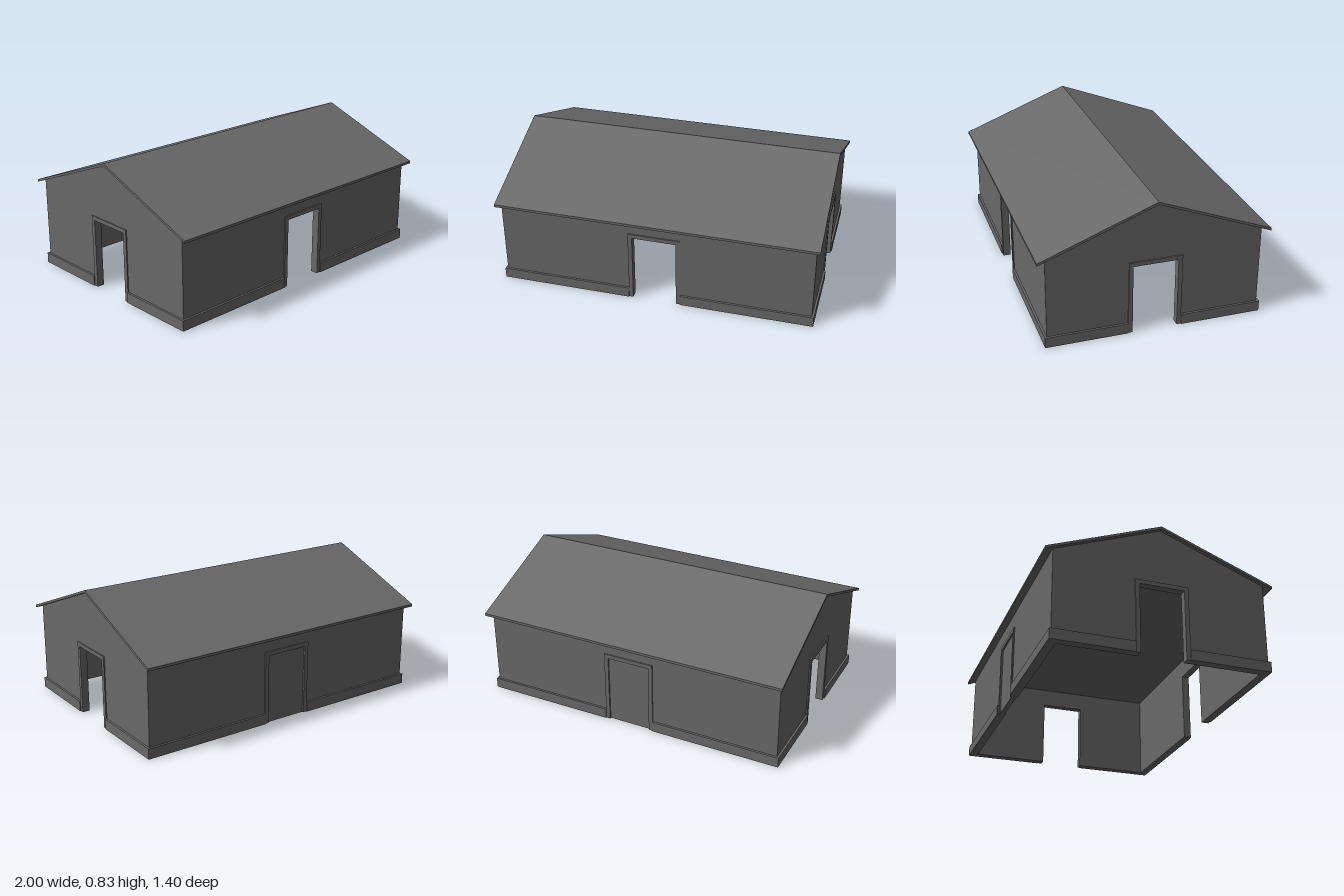
import * as THREE from 'three';

const WALL_X = 0.975, WALL_Z = 0.65, THICK = 0.04;
const DOOR_HALF = 0.137, DOOR_TOP = 0.435, FRAME = 0.026;
const FRAME_OUT = 0.007, PLINTH_OUT = 0.013, PLINTH_TOP = 0.065;
const RIDGE = 0.83, EAVE = 0.56, ROOF_Z = 0.7, ROOF_THICK = 0.016, CEILING = 0.55;

export function createModel() {
  const building = new THREE.Group();
  building.name = 'gabledBuilding';
  const grey = new THREE.MeshStandardMaterial({ color: 0x696969 });
  grey.name = 'grey';

  const add = (parent, name, geometry, x = 0, y = 0, z = 0) => {
    const mesh = new THREE.Mesh(geometry, grey);
    mesh.name = name;
    mesh.position.set(x, y, z);
    parent.add(mesh);
    return mesh;
  };
  const extrude = (points, depth) => new THREE.ExtrudeGeometry(
    new THREE.Shape(points.map(([x, y]) => new THREE.Vector2(x, y))),
    { depth, bevelEnabled: false });

  // One side in its own frame: outside faces +z, outer wall face at z = 0
  function addSide(name, half, plinthHalf, topPoints, angle, distance, closed) {
    const side = new THREE.Group();
    side.name = name;
    side.rotation.y = angle;
    side.position.set(Math.sin(angle) * distance, 0, Math.cos(angle) * distance);
    building.add(side);

    // Wall with a doorway notch
    add(side, 'wall', extrude([
      [-half, 0], [-DOOR_HALF, 0], [-DOOR_HALF, DOOR_TOP],
      [DOOR_HALF, DOOR_TOP], [DOOR_HALF, 0], [half, 0], ...topPoints,
    ], THICK), 0, 0, -THICK);

    // Raised door surround
    const outer = DOOR_HALF + FRAME, top = DOOR_TOP + FRAME;
    add(side, 'doorFrame', extrude([
      [-outer, 0], [-DOOR_HALF, 0], [-DOOR_HALF, DOOR_TOP], [DOOR_HALF, DOOR_TOP],
      [DOOR_HALF, 0], [outer, 0], [outer, top], [-outer, top],
    ], FRAME_OUT));

    // Plinth on both sides of the doorway
    const length = plinthHalf - outer;
    for (const s of [-1, 1]) {
      add(side, 'plinth', new THREE.BoxGeometry(length, PLINTH_TOP, PLINTH_OUT),
        s * (outer + length / 2), PLINTH_TOP / 2, PLINTH_OUT / 2);
    }

    // Closed door leaf
    if (closed) {
      add(side, 'door', new THREE.BoxGeometry(DOOR_HALF * 2, DOOR_TOP, 0.03),
        0, DOOR_TOP / 2, -0.018);
    }
  }

  // Long walls fit between the gables
  const slope = (RIDGE - EAVE) / ROOF_Z;
  const under = z => RIDGE - ROOF_THICK - slope * z;
  const longHalf = WALL_X - THICK, wallTop = under(WALL_Z);
  const longTop = [[longHalf, wallTop], [-longHalf, wallTop]];
  addSide('frontSide', longHalf, WALL_X, longTop, 0, WALL_Z, false);
  addSide('backSide', longHalf, WALL_X, longTop, Math.PI, WALL_Z, true);

  // Gable walls with open doorways
  const gableTop = [[WALL_Z, wallTop], [0, under(0)], [-WALL_Z, wallTop]];
  for (const s of [-1, 1]) {
    addSide(s > 0 ? 'leftGable' : 'rightGable', WALL_Z, WALL_Z + PLINTH_OUT,
      gableTop, s * Math.PI / 2, WALL_X, false);
  }

  // Flat ceiling inside
  add(building, 'ceiling',
    new THREE.BoxGeometry(longHalf * 2, 0.01, (WALL_Z - THICK) * 2), 0, CEILING + 0.005, 0);

  // Thin pitched roof overhanging all sides
  const roof = extrude([
    [-ROOF_Z, EAVE - ROOF_THICK], [0, RIDGE - ROOF_THICK], [ROOF_Z, EAVE - ROOF_THICK],
    [ROOF_Z, EAVE], [0, RIDGE], [-ROOF_Z, EAVE],
  ], 2);
  roof.translate(0, 0, -1).rotateY(Math.PI / 2);
  add(building, 'roof', roof);

  return building;
}
